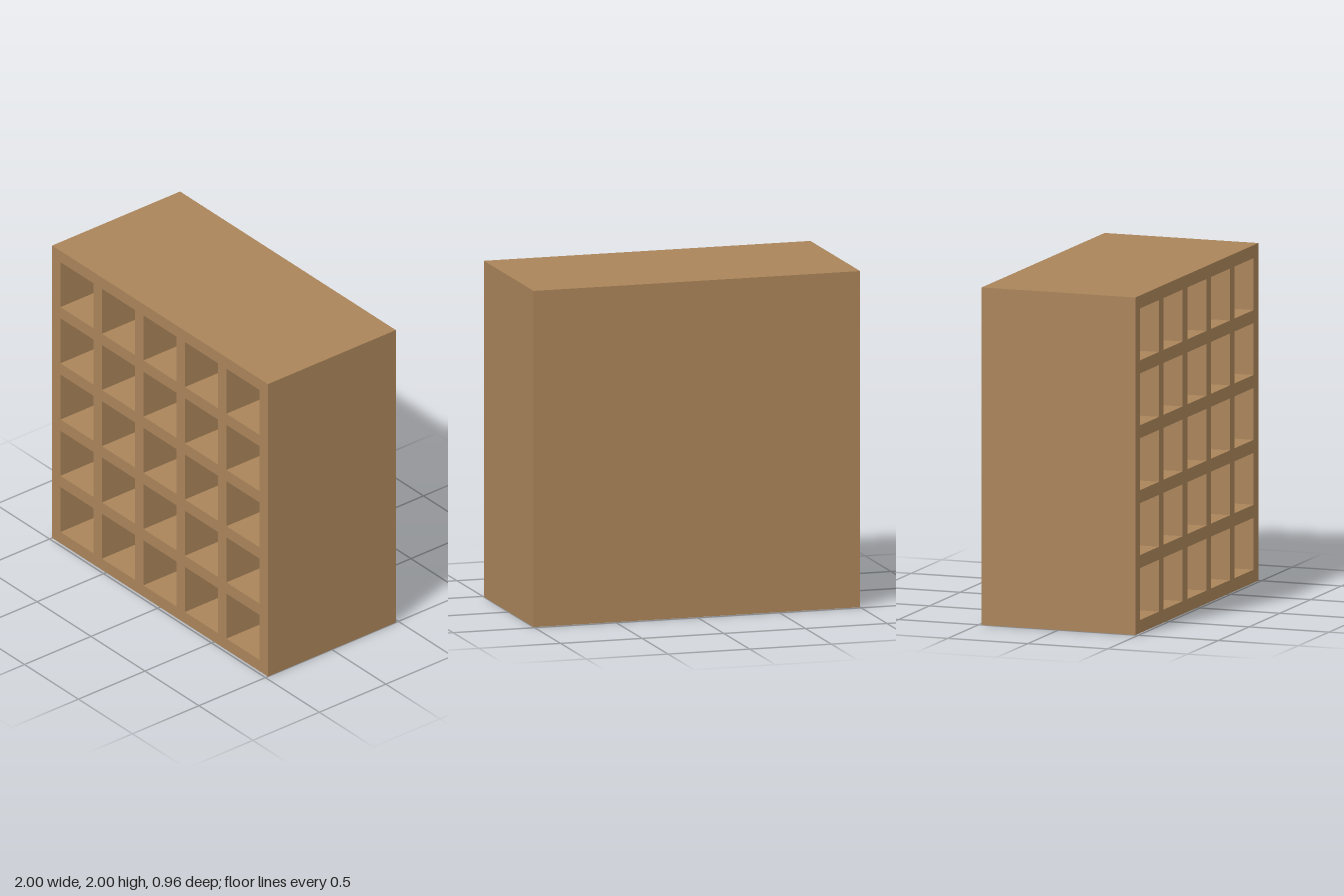
import * as THREE from 'three';

const CELLS = 5;
const WALL = 2 / 26;           // thickness of outer boards and dividers
const OPENING = 4 * WALL;      // clear size of each square cell
const DEPTH = 12.5 * WALL;
const BACK = WALL / 2;

function rectangle(PathClass, x, y, w, h) {
  const p = new PathClass();
  p.moveTo(x, y);
  p.lineTo(x + w, y);
  p.lineTo(x + w, y + h);
  p.lineTo(x, y + h);
  p.closePath();
  return p;
}

export function createModel() {
  const group = new THREE.Group();
  group.name = 'cubbyShelf';

  const wood = new THREE.MeshStandardMaterial({ color: 0xaa845a });
  wood.name = 'wood';

  // Frame and dividers: a square pierced by a grid of cells
  const outline = rectangle(THREE.Shape, -1, 0, 2, 2);
  const pitch = WALL + OPENING;
  for (let row = 0; row < CELLS; row++) {
    for (let col = 0; col < CELLS; col++) {
      outline.holes.push(rectangle(THREE.Path,
        -1 + WALL + col * pitch, WALL + row * pitch, OPENING, OPENING));
    }
  }
  const frame = new THREE.Mesh(
    new THREE.ExtrudeGeometry(outline, { depth: DEPTH - BACK, bevelEnabled: false }), wood);
  frame.name = 'frameAndDividers';
  frame.position.z = -DEPTH / 2 + BACK;
  group.add(frame);

  // Closed back
  const back = new THREE.Mesh(new THREE.BoxGeometry(2, 2, BACK), wood);
  back.name = 'backPanel';
  back.position.set(0, 1, -DEPTH / 2 + BACK / 2);
  group.add(back);

  return group;
}
